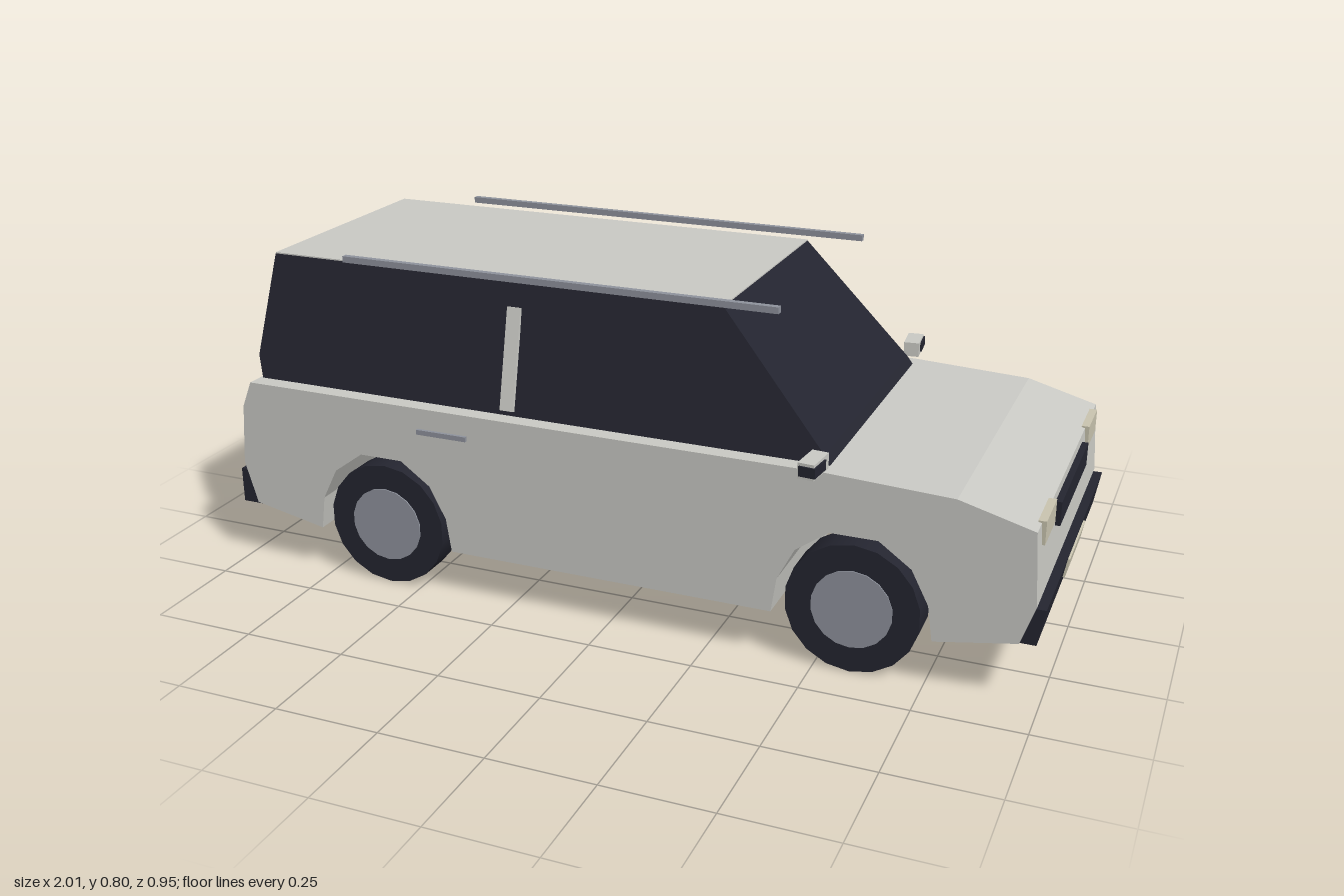
import * as THREE from 'three';

const mat = (name, color) => {
  const m = new THREE.MeshStandardMaterial({ color });
  m.name = name;
  return m;
};

export function createModel() {
  const car = new THREE.Group();
  car.name = 'estateCar';
  const paint = mat('paint', 0xcacac5);
  const dark = mat('darkGlassAndTrim', 0x242530);
  const metal = mat('metal', 0x8f939d);
  const lamp = mat('paleLamp', 0xcac5b0);
  const red = mat('tailRed', 0xa82424);

  const add = (name, geometry, material, x = 0, y = 0, z = 0) => {
    const mesh = new THREE.Mesh(geometry, material);
    mesh.name = name;
    mesh.position.set(x, y, z);
    car.add(mesh);
    return mesh;
  };
  const box = (name, material, x, y, z, w, h, d) =>
    add(name, new THREE.BoxGeometry(w, h, d), material, x, y, z);
  // Side profile extruded across the car, centred on z = 0
  const prism = (points, width) => {
    const shape = new THREE.Shape(points.map(([x, y]) => new THREE.Vector2(x, y)));
    return new THREE.ExtrudeGeometry(shape, { depth: width, bevelEnabled: false })
      .translate(0, 0, -width / 2);
  };

  const axles = [-0.587, 0.583];

  // Lower body with wheel arches cut through its full width
  const arch = [[-0.182, 0.117], [-0.17, 0.2], [-0.13, 0.278], [-0.055, 0.332],
    [0.055, 0.332], [0.13, 0.278], [0.17, 0.2], [0.182, 0.117]];
  const archAt = (cx) => arch.map(([x, y]) => [cx + x, y]);
  add('body', prism([
    [-0.955, 0.155], ...archAt(axles[0]), ...archAt(axles[1]),
    [0.95, 0.15], [0.98, 0.24], [0.968, 0.41], [0.8, 0.456], [0.51, 0.47],
    [-0.84, 0.475], [-0.945, 0.475], [-0.972, 0.41], [-0.985, 0.26],
  ], 0.8), paint);

  // Glasshouse, narrowing towards the roof
  const cabin = prism([[-0.935, 0.465], [0.517, 0.465], [0.5, 0.49], [0.245, 0.778],
    [-0.91, 0.778], [-0.95, 0.53]], 2);
  const p = cabin.attributes.position;
  for (let i = 0; i < p.count; i++) {
    p.setZ(i, p.getZ(i) * THREE.MathUtils.mapLinear(p.getY(i), 0.465, 0.778, 0.36, 0.3));
  }
  cabin.computeVertexNormals();
  add('cabinGlass', cabin, dark);
  box('roof', paint, -0.3325, 0.778, 0, 1.155, 0.006, 0.598);

  // Bumpers and number plates
  add('frontBumper', prism([[0.94, 0.15], [0.985, 0.15], [1, 0.235], [0.96, 0.235]], 0.79), dark);
  add('rearBumper', prism([[-1, 0.15], [-0.945, 0.15], [-0.97, 0.238], [-1, 0.238]], 0.79), dark);
  box('frontPlate', lamp, 0.995, 0.202, 0, 0.008, 0.046, 0.222).rotation.z = -0.17;
  box('rearPlate', lamp, -1, 0.202, 0, 0.008, 0.046, 0.222);
  box('grille', dark, 0.974, 0.363, 0, 0.02, 0.056, 0.37);

  for (const s of [-1, 1]) {
    box('headlight', lamp, 0.969, 0.388, s * 0.288, 0.018, 0.054, 0.124);
    box('tailLight', red, -0.976, 0.405, s * 0.308, 0.018, 0.042, 0.092);
    box('roofRail', metal, -0.16, 0.793, s * 0.323, 1.08, 0.015, 0.015);
    box('doorHandle', metal, -0.415, 0.417, s * 0.402, 0.13, 0.012, 0.012);

    // Door pillar leaning with the glass
    box('doorPillar', paint, -0.258, 0.605, s * 0.341, 0.034, 0.24, 0.009).rotation.x = -s * 0.235;

    // Door mirror with dark insert
    const mirror = new THREE.Group();
    mirror.name = 'doorMirror';
    mirror.position.set(0.497, 0.496, s * 0.43);
    mirror.rotation.y = s * -0.1;
    const shell = box('mirrorShell', paint, 0, 0, 0, 0.038, 0.036, 0.08);
    const insert = box('mirrorInsert', dark, 0.004, 0, s * 0.014, 0.038, 0.023, 0.06);
    mirror.add(shell, insert);
    car.add(mirror);

    // Wheels
    for (const x of axles) {
      const wheel = new THREE.Group();
      wheel.name = 'wheel';
      wheel.position.set(x, 0.154, s * 0.349);
      const tyre = add('tyre', new THREE.CylinderGeometry(0.154, 0.154, 0.084, 18), dark);
      const hub = add('hub', new THREE.CylinderGeometry(0.093, 0.093, 0.09, 18), metal);
      tyre.rotation.x = hub.rotation.x = Math.PI / 2;
      wheel.add(tyre, hub);
      car.add(wheel);
    }
  }
  return car;
}
